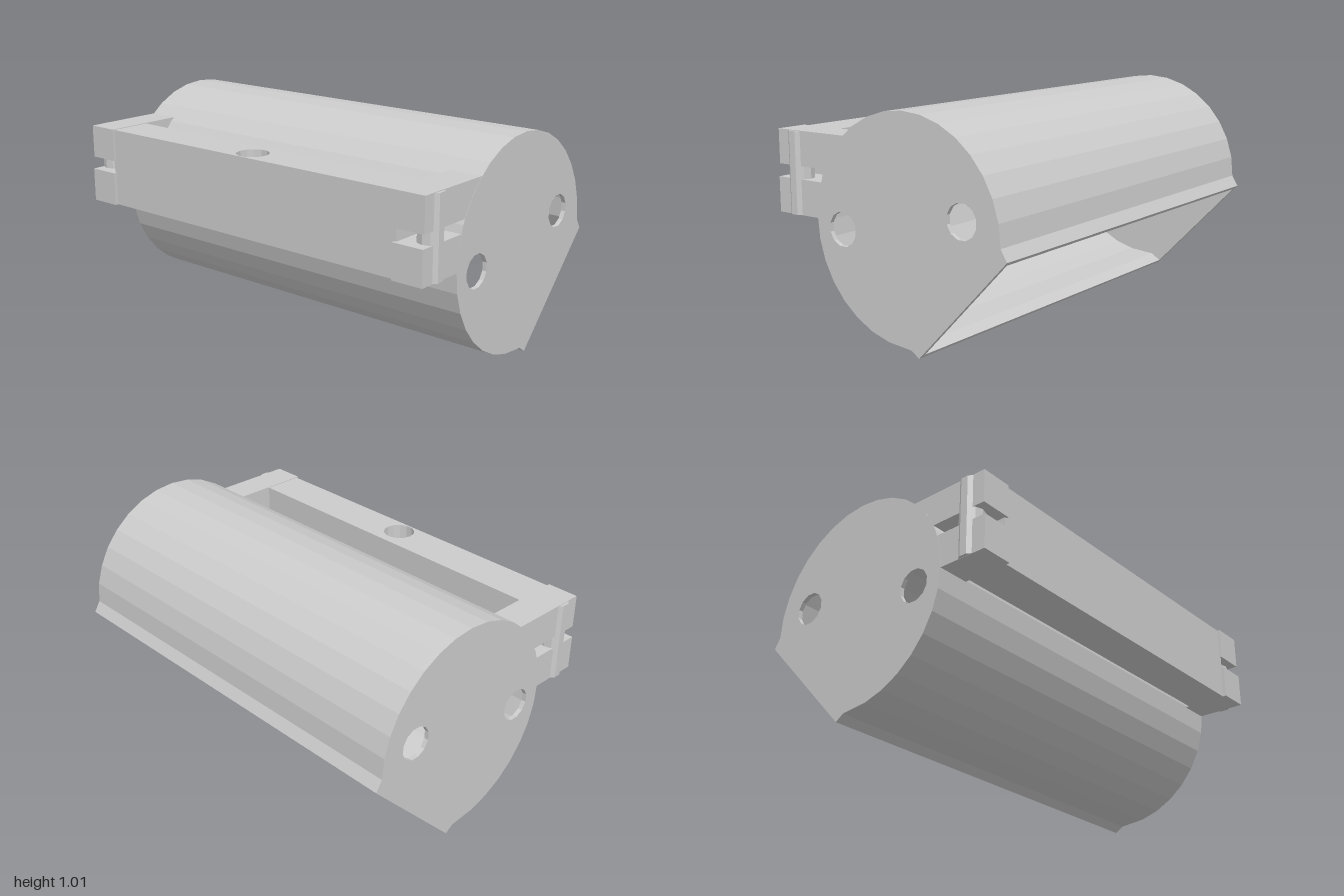
import * as THREE from 'three';

const material = new THREE.MeshStandardMaterial({ color: 0xcccccc, flatShading: true, side: THREE.DoubleSide });
const CX = 0.1, CY = 0.52, R = 0.49, HALF = 0.98, WALL = 0.02, SEGMENTS = 32;

function add(group, name, geometry, x = 0, y = 0, z = 0) {
  const mesh = new THREE.Mesh(geometry, material);
  mesh.name = name;
  mesh.position.set(x, y, z);
  group.add(mesh);
  return mesh;
}

// Box given by its limits
function block(group, name, x0, x1, y0, y1, z0, z1) {
  return add(group, name, new THREE.BoxGeometry(x1 - x0, y1 - y0, z1 - z0),
    (x0 + x1) / 2, (y0 + y1) / 2, (z0 + z1) / 2);
}

// Three quarters of a circle, from the right side over the top to the bottom
function arc(radius) {
  const points = [];
  for (let i = 0; i <= SEGMENTS * 0.75; i++) {
    const a = (i / SEGMENTS) * Math.PI * 2;
    points.push(new THREE.Vector2(CX + radius * Math.cos(a), CY + radius * Math.sin(a)));
  }
  return points;
}

function circleHole(x, y, radius, sides) {
  const points = [];
  for (let i = 0; i < sides; i++) {
    const a = ((i + 0.5) / sides) * Math.PI * 2;
    points.push(new THREE.Vector2(x + radius * Math.cos(a), y + radius * Math.sin(a)));
  }
  return new THREE.Path(points);
}

const extrude = (shape, depth) => new THREE.ExtrudeGeometry(shape, { depth, bevelEnabled: false });

export function createModel() {
  const model = new THREE.Group();
  model.name = 'housing';

  // Outline with the two lips of the slanted opening
  const outline = [new THREE.Vector2(0.62, 0.47), ...arc(R),
    new THREE.Vector2(0.13, 0.027), new THREE.Vector2(0.17, 0)];

  // Thin curved shell, open along the slanted side
  const inner = [new THREE.Vector2(0.605, 0.454), ...arc(R - WALL),
    new THREE.Vector2(0.14, 0.047), new THREE.Vector2(0.185, 0.016)].reverse();
  add(model, 'curvedShell', extrude(new THREE.Shape([...outline, ...inner]), 2 * HALF - 2 * WALL),
    0, 0, -HALF + WALL);

  // End plates with two round holes each
  const plate = new THREE.Shape(outline);
  plate.holes.push(circleHole(-0.243, 0.485, 0.076, 12), circleHole(0.4, 0.6, 0.076, 12));
  add(model, 'frontPlate', extrude(plate, WALL), 0, 0, HALF - WALL);
  add(model, 'backPlate', extrude(plate, WALL), 0, 0, -HALF);

  // Long side bar with a blind hole in its top
  const barTop = new THREE.Shape([
    new THREE.Vector2(-0.605, -0.84), new THREE.Vector2(-0.41, -0.84),
    new THREE.Vector2(-0.41, 0.84), new THREE.Vector2(-0.605, 0.84)]);
  barTop.holes.push(circleHole(-0.525, 0, 0.074, 14));
  add(model, 'sideBarTop', extrude(barTop, 0.22).rotateX(-Math.PI / 2), 0, 0.66, 0);
  block(model, 'sideBarBase', -0.605, -0.41, 0.515, 0.66, -0.84, 0.84);

  // Slotted arms joining the bar to the shell, each with an upright pin
  for (const [end, s] of [['front', 1], ['back', -1]]) {
    const arm = new THREE.Group();
    arm.name = end + 'Arm';
    const z0 = s > 0 ? 0.83 : -0.979, z1 = s > 0 ? 0.979 : -0.83;
    block(arm, 'upperArm', -0.615, -0.22, 0.73, 0.883, z0, z1);
    block(arm, 'lowerArm', -0.622, -0.33, 0.515, 0.672, z0, z1);
    const pin = add(arm, 'pin', new THREE.CylinderGeometry(0.055, 0.055, 0.364, 10), -0.52, 0.698, s * 0.94);
    pin.rotation.y = Math.PI / 10;
    model.add(arm);
  }
  return model;
}
